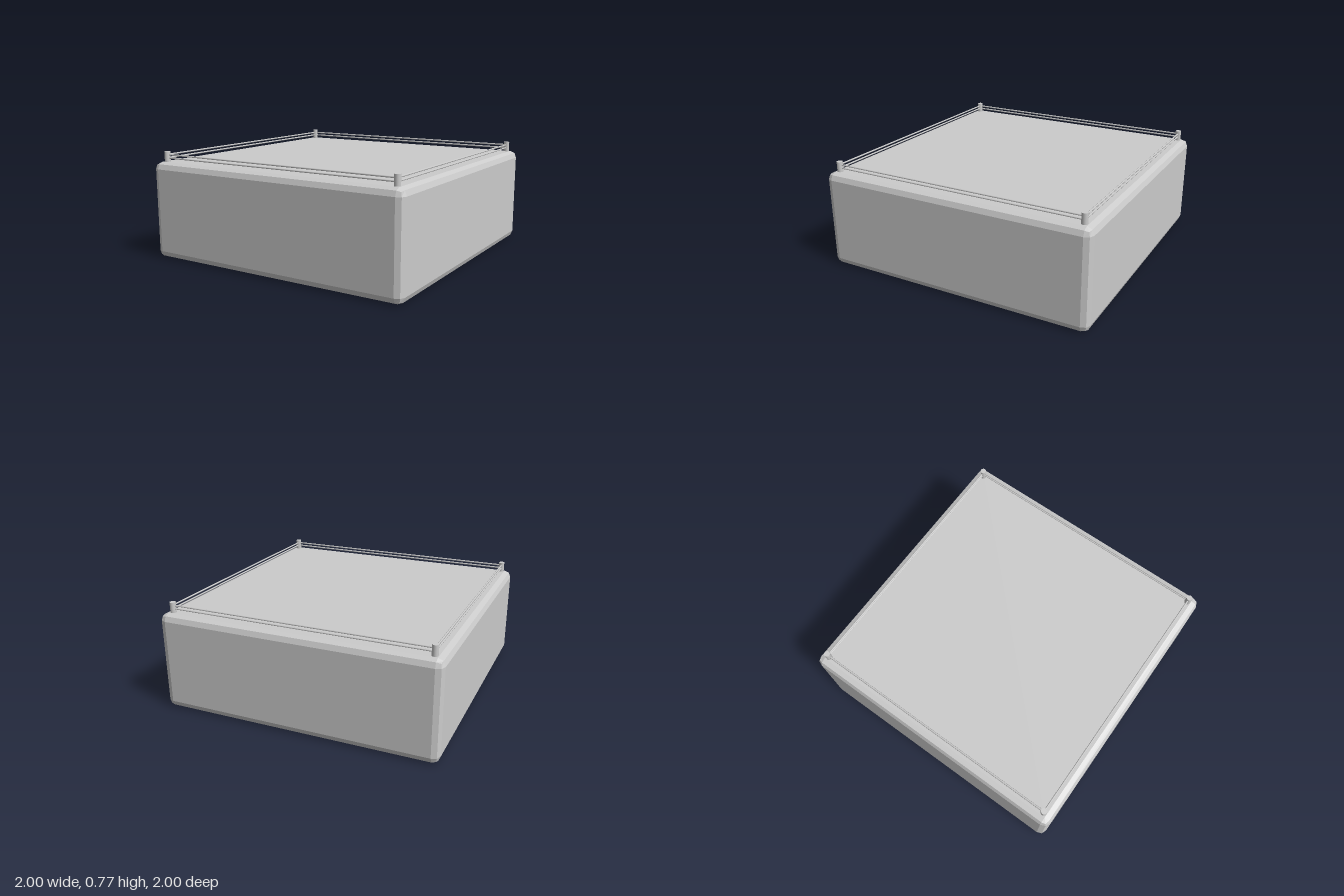
import * as THREE from 'three';
import { RoundedBoxGeometry } from 'three/addons/geometries/RoundedBoxGeometry.js';

const BODY_HEIGHT = 0.7;
const POST_TOP = 0.773;
const INSET = 0.926; // distance of posts and rails from the centre

export function createModel() {
  const group = new THREE.Group();
  const bodyMaterial = new THREE.MeshStandardMaterial({ color: 0xcccccc, flatShading: true });
  const railMaterial = new THREE.MeshStandardMaterial({ color: 0xcccccc });

  const add = (name, geometry, material, x, y, z, parent = group) => {
    const mesh = new THREE.Mesh(geometry, material);
    mesh.name = name;
    mesh.position.set(x, y, z);
    parent.add(mesh);
    return mesh;
  };

  // Block with two-facet rounded edges
  add('body', new RoundedBoxGeometry(2, BODY_HEIGHT, 2, 1, 0.05), bodyMaterial, 0, BODY_HEIGHT / 2, 0);

  // Each side of the railing: one corner post and two thin rails
  const postBottom = BODY_HEIGHT - 0.005;
  const postGeometry = new THREE.CylinderGeometry(0.021, 0.021, POST_TOP - postBottom, 16);
  const railGeometry = new THREE.CylinderGeometry(0.006, 0.006, INSET * 2, 8).rotateZ(Math.PI / 2);
  const sides = ['front', 'left', 'back', 'right'];
  sides.forEach((side, i) => {
    const railing = new THREE.Group();
    railing.name = side + 'Railing';
    railing.rotation.y = (i * Math.PI) / 2;
    add('cornerPost', postGeometry, railMaterial, INSET, (postBottom + POST_TOP) / 2, INSET, railing);
    add('lowerRail', railGeometry, railMaterial, 0, 0.727, INSET, railing);
    add('upperRail', railGeometry, railMaterial, 0, 0.75, INSET, railing);
    group.add(railing);
  });

  return group;
}
